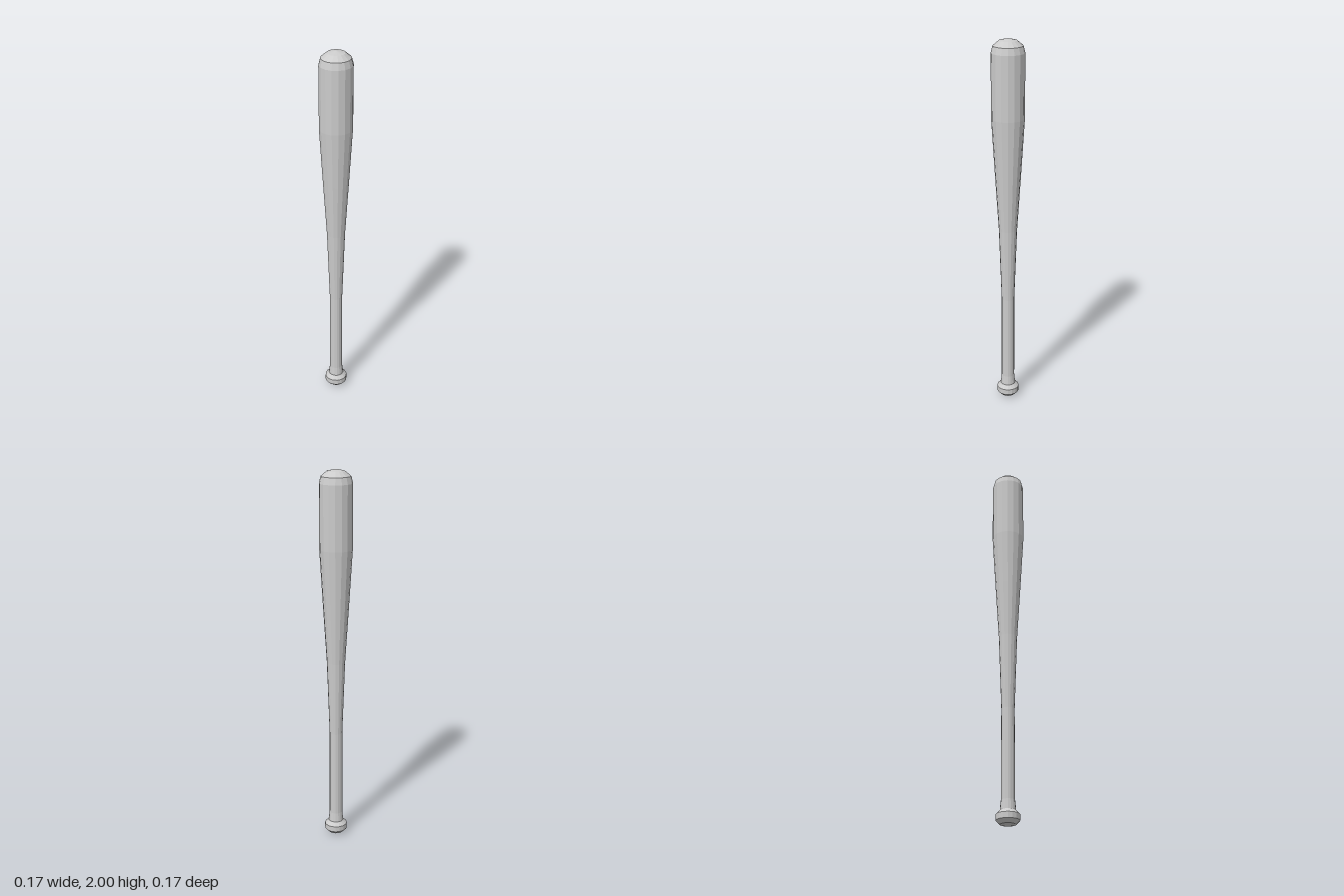
import * as THREE from 'three';

const SIDES = 16;

// Turned part from [radius, height] pairs, listed bottom to top
function turned(name, profile) {
  const points = profile.map(([r, y]) => new THREE.Vector2(r, y));
  const material = new THREE.MeshStandardMaterial({ color: 0xcccccc, flatShading: true });
  const mesh = new THREE.Mesh(new THREE.LatheGeometry(points, SIDES), material);
  mesh.name = name;
  return mesh;
}

export function createModel() {
  const bat = new THREE.Group();
  bat.name = 'bat';

  // Rounded end knob with a flat base
  bat.add(turned('knob', [
    [0, 0], [0.04, 0.01], [0.06, 0.03], [0.06, 0.06], [0.04, 0.08],
  ]));

  // Grip, flared where it meets the knob
  bat.add(turned('handle', [
    [0.04, 0.08], [0.035, 0.13], [0.034, 0.6],
  ]));

  // Tapering shaft, straight barrel and domed tip
  bat.add(turned('barrel', [
    [0.034, 0.6], [0.048, 1], [0.067, 1.3], [0.085, 1.6], [0.085, 1.93],
    [0.076, 1.965], [0.046, 1.99], [0, 2],
  ]));

  return bat;
}
